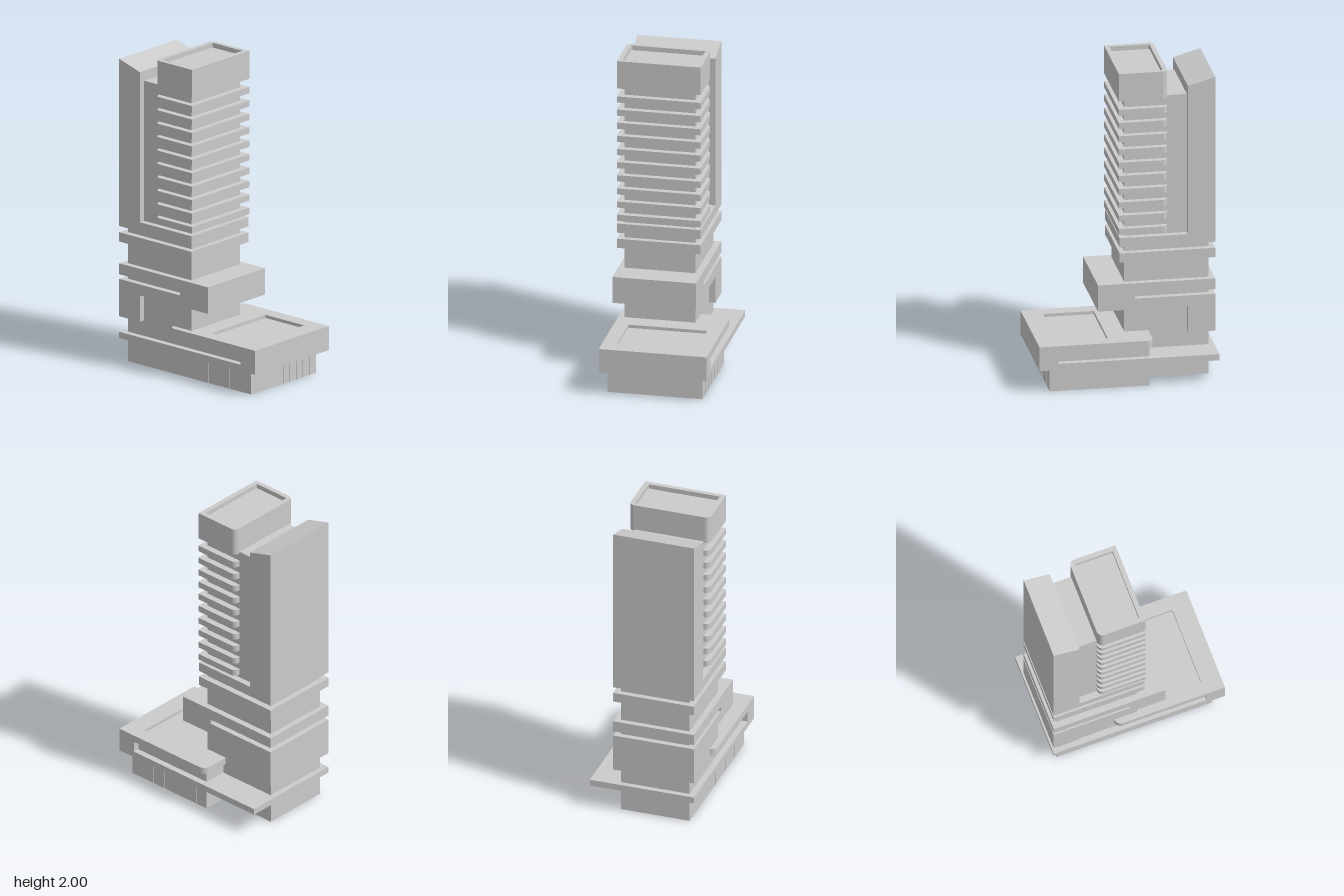
import * as THREE from 'three';

const mat = new THREE.MeshStandardMaterial({ color: 0xcccccc });

function add(parent, name, geo) {
  const m = new THREE.Mesh(geo, mat);
  m.name = name;
  parent.add(m);
  return m;
}

// box from its limits
function box(parent, name, x0, x1, y0, y1, z0, z1) {
  const m = add(parent, name, new THREE.BoxGeometry(x1 - x0, y1 - y0, z1 - z0));
  m.position.set((x0 + x1) / 2, (y0 + y1) / 2, (z0 + z1) / 2);
  return m;
}

// rectangle in plan; rb rounds the back corners, rf the front ones
function outline(T, x0, x1, z0, z1, rb, rf = 0) {
  const s = new T(), H = Math.PI / 2;
  s.moveTo(x0 + rf, -z1);
  s.lineTo(x1 - rf, -z1);
  if (rf) s.absarc(x1 - rf, -z1 + rf, rf, -H, 0);
  s.lineTo(x1, -z0 - rb);
  if (rb) s.absarc(x1 - rb, -z0 - rb, rb, 0, H);
  s.lineTo(x0 + rb, -z0);
  if (rb) s.absarc(x0 + rb, -z0 - rb, rb, H, 2 * H);
  s.lineTo(x0, -z1 + rf);
  if (rf) s.absarc(x0 + rf, -z1 + rf, rf, 2 * H, 3 * H);
  return s;
}

// plan shape raised from y0 to y1
function slab(parent, name, shape, y0, y1) {
  const g = new THREE.ExtrudeGeometry(shape, { depth: y1 - y0, bevelEnabled: false, curveSegments: 8 });
  g.rotateX(-Math.PI / 2).translate(0, y0, 0);
  return add(parent, name, g);
}

// side profile of [z, y] points swept along x
function sideProfile(parent, name, pts, x0, x1) {
  const s = new THREE.Shape(pts.map(([z, y]) => new THREE.Vector2(-z, y)));
  const g = new THREE.ExtrudeGeometry(s, { depth: x1 - x0, bevelEnabled: false });
  g.rotateY(Math.PI / 2).translate(x0, 0, 0);
  return add(parent, name, g);
}

export function createModel() {
  const model = new THREE.Group();
  model.name = 'tower';
  const L = -0.34, R = 0.185, PR = 0.335, B = -0.56;

  // tower core, set back behind every band
  box(model, 'coreLower', -0.30, 0.145, 0, 0.9, -0.525, 0);
  box(model, 'coreUpper', -0.30, 0.145, 0.9, 1.83, -0.42, 0);

  // podium: glazed ground floor, deck, set-back storey and roof with a sunken terrace
  const podium = new THREE.Group();
  podium.name = 'podium';
  model.add(podium);
  box(podium, 'groundFloor', -0.30, 0.295, 0, 0.15, -0.13, 0.49);
  box(podium, 'deck', L, PR, 0.15, 0.19, B, 0.56);
  box(podium, 'setBackStorey', -0.30, 0.295, 0.19, 0.26, -0.13, 0.44);
  box(podium, 'frontParapet', L, PR, 0.19, 0.26, 0.44, 0.56);
  slab(podium, 'podiumRoof', outline(THREE.Shape, L, PR, -0.15, 0.56, 0.045), 0.26, 0.285);
  const rim = outline(THREE.Shape, L, PR, -0.15, 0.56, 0.045);
  rim.holes.push(outline(THREE.Path, -0.25, 0.245, 0.12, 0.435, 0));
  slab(podium, 'terraceRim', rim, 0.285, 0.305);

  // slim mullions on the ground floor
  const t = 0.002;
  for (let i = 1; i < 10; i++) {
    const x = -0.30 + i * 0.0595;
    box(podium, 'frontMullion', x - t, x + t, 0, 0.15, 0.48, 0.492);
  }
  for (let i = 1; i < 7; i++) {
    const z = -0.13 + i * 0.0886;
    box(podium, 'rightMullion', 0.285, 0.297, 0, 0.15, z - t, z + t);
    box(podium, 'leftMullion', -0.302, -0.29, 0, 0.15, z - t, z + t);
  }

  // projecting block with a slot that wraps round the back
  sideProfile(model, 'projectingBlock', [
    [0.17, 0.63], [0.17, 0.46], [-0.39, 0.46], [-0.39, 0.29], [B, 0.29],
    [B, 0.53], [-0.06, 0.53], [-0.06, 0.56], [B, 0.56], [B, 0.63],
  ], L, R);

  // middle band, then the band that turns up into the rear wall
  box(model, 'middleBand', L, R, 0.77, 0.83, B, 0.035);
  sideProfile(model, 'rearWall', [
    [0.035, 0.93], [0.035, 0.87], [B, 0.87], [B, 1.945], [-0.39, 1.895], [-0.39, 0.93],
  ], L, R);

  // balcony slabs
  for (let i = 0; i < 10; i++) {
    const y = 0.95 + i * 0.0864;
    slab(model, 'balcony', outline(THREE.Shape, L, R, -0.265, 0.04, 0.035), y, y + 0.04);
  }

  // crown with a sunken roof
  slab(model, 'crown', outline(THREE.Shape, L, R, -0.265, 0.04, 0.035), 1.82, 1.97);
  const crownRim = outline(THREE.Shape, L, R, -0.265, 0.04, 0.035);
  crownRim.holes.push(outline(THREE.Path, -0.31, 0.155, -0.237, 0.01, 0.01, 0.005));
  slab(model, 'crownRim', crownRim, 1.97, 2.0);

  return model;
}
